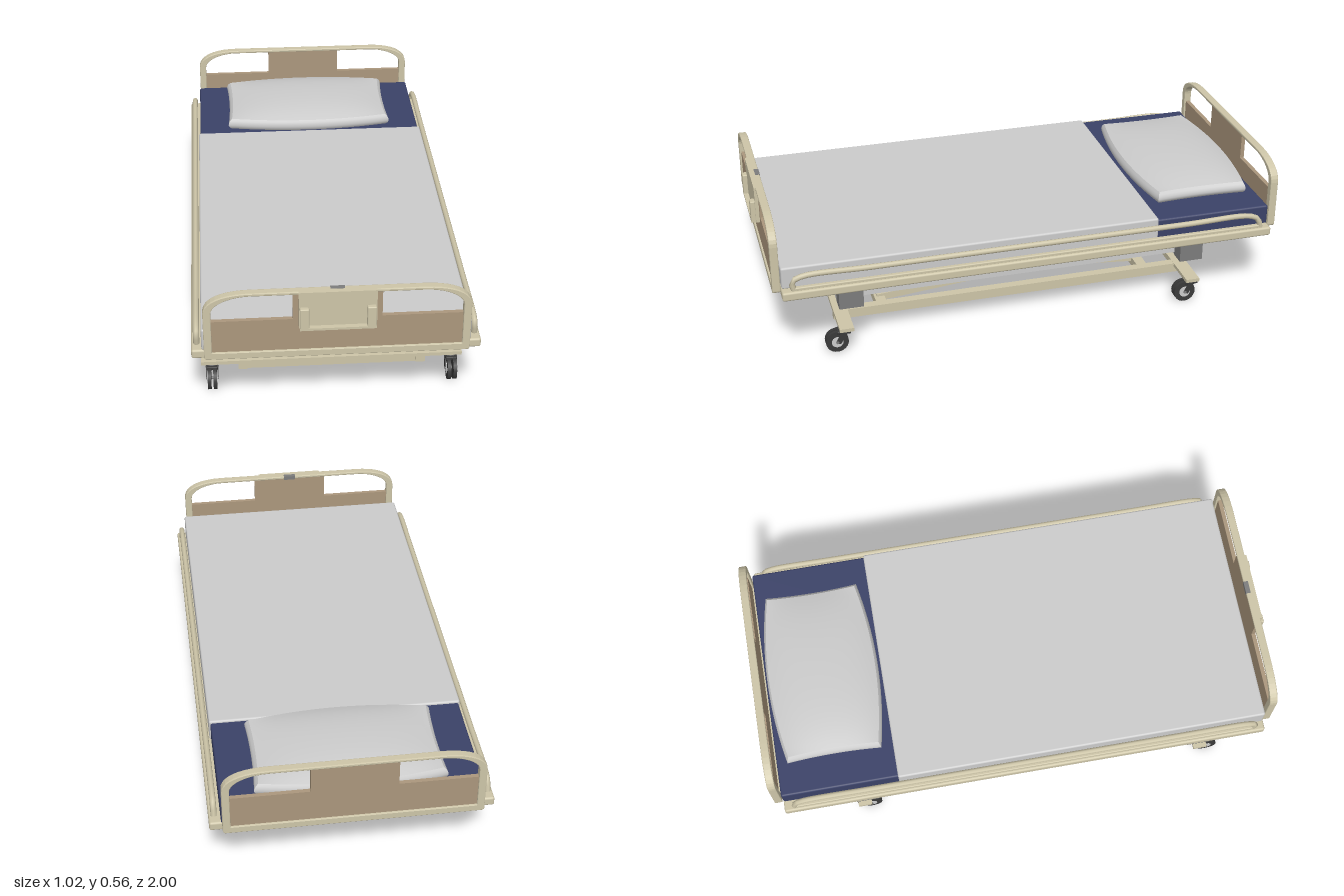
import * as THREE from 'three';
import { RoundedBoxGeometry } from 'three/addons/geometries/RoundedBoxGeometry.js';

const mat = (color) => new THREE.MeshStandardMaterial({ color });
const beige = mat(0xcdc5a8), brown = mat(0xab977d), navy = mat(0x3b4268);
const grey = mat(0xcccccc), darkGrey = mat(0x7c7c7c), black = mat(0x3a3a3a);

function add(parent, name, geometry, material, x = 0, y = 0, z = 0) {
  const mesh = new THREE.Mesh(geometry, material);
  mesh.name = name;
  mesh.position.set(x, y, z);
  parent.add(mesh);
  return mesh;
}

// Box given by its lower and upper limits on each axis
function box(parent, name, material, [x0, x1], [y0, y1], [z0, z1], radius = 0) {
  const s = [x1 - x0, y1 - y0, z1 - z0];
  const g = radius ? new RoundedBoxGeometry(...s, 3, radius) : new THREE.BoxGeometry(...s);
  return add(parent, name, g, material, (x0 + x1) / 2, (y0 + y1) / 2, (z0 + z1) / 2);
}

// Arched outline used for the outer and inner edge of the end boards
function arch(path, w, bottom, top, r) {
  path.moveTo(-w + r, bottom);
  path.lineTo(w - r, bottom);
  path.quadraticCurveTo(w, bottom, w, bottom + r);
  path.lineTo(w, 0.48);
  path.bezierCurveTo(w, top - 0.03, w - 0.065, top, 0.3, top);
  path.lineTo(-0.3, top);
  path.bezierCurveTo(-w + 0.065, top, -w, top - 0.03, -w, 0.48);
  path.lineTo(-w, bottom + r);
  path.quadraticCurveTo(-w, bottom, -w + r, bottom);
  return path;
}

function endBoard(name, z) {
  const board = new THREE.Group();
  board.name = name;
  const shape = arch(new THREE.Shape(), 0.465, 0.29, 0.56, 0.012);
  shape.holes.push(arch(new THREE.Path(), 0.437, 0.318, 0.548, 0.004));
  const frame = new THREE.ExtrudeGeometry(shape, {
    depth: 0.022, bevelEnabled: true, bevelThickness: 0.004, bevelSize: 0.003,
    bevelOffset: -0.003, bevelSegments: 2, curveSegments: 10,
  });
  add(board, 'boardFrame', frame, beige, 0, 0, -0.011);
  // Low panel with a raised centre column
  const p = new THREE.Shape([[-0.44, 0.315], [0.44, 0.315], [0.44, 0.445], [0.155, 0.445], [0.155, 0.552],
    [-0.155, 0.552], [-0.155, 0.445], [-0.44, 0.445]].map(([x, y]) => new THREE.Vector2(x, y)));
  add(board, 'boardPanel', new THREE.ExtrudeGeometry(p, { depth: 0.016, bevelEnabled: false }), brown, 0, 0, -0.008);
  board.position.z = z;
  return board;
}

// Cushion: a subdivided cube whose vertices are pushed into a pillow
function pillowGeometry() {
  const g = new THREE.BoxGeometry(2, 2, 2, 24, 6, 18);
  const pos = g.attributes.position;
  for (let i = 0; i < pos.count; i++) {
    const u = pos.getX(i), h = pos.getY(i), v = pos.getZ(i);
    const edge = 1 - 0.045 * h * h;
    const fall = (1 - u ** 4) * (1 - v ** 4);
    const x = u * edge * (0.338 + 0.008 * v * v);
    const z = v * edge * (0.183 + 0.036 * (1 - u * u));
    const y = h > 0 ? h * (0.026 + 0.012 * fall + 0.018 * (1 - u * u) * (1 - v * v)) : h * 0.022;
    pos.setXYZ(i, x, y, z);
  }
  g.computeVertexNormals();
  return g;
}

// Closed guard loop running along the bed side
function guardGeometry() {
  const pts = [[0.9, 0.312], [0.905, 0.345], [0.87, 0.363], [0.6, 0.364], [-0.6, 0.364],
    [-0.88, 0.363], [-0.915, 0.345], [-0.925, 0.312]].map(([z, y]) => new THREE.Vector3(0, y, z));
  return new THREE.TubeGeometry(new THREE.CatmullRomCurve3(pts, false, 'centripetal'), 80, 0.011, 8);
}

function caster() {
  const c = new THREE.Group();
  c.name = 'caster';
  add(c, 'stem', new THREE.CylinderGeometry(0.013, 0.013, 0.03, 14), darkGrey, 0, 0.085, 0);
  add(c, 'swivelCap', new THREE.CylinderGeometry(0.025, 0.025, 0.008, 18), darkGrey, 0, 0.09, 0);
  for (const s of [-1, 1]) {
    const tyre = add(c, 'wheel', new THREE.CylinderGeometry(0.043, 0.043, 0.013, 24), black, s * 0.0105, 0.043, 0.035);
    tyre.rotation.z = Math.PI / 2;
    const hub = add(c, 'hub', new THREE.CylinderGeometry(0.022, 0.022, 0.003, 18), grey, s * 0.018, 0.043, 0.035);
    hub.rotation.z = Math.PI / 2;
    const arm = box(c, 'forkArm', black, [s * 0.021 - 0.002, s * 0.021 + 0.002], [0.036, 0.086], [0.01, 0.03]);
    arm.rotation.x = -0.5;
  }
  const axle = add(c, 'axle', new THREE.CylinderGeometry(0.006, 0.006, 0.048, 10), darkGrey, 0, 0.043, 0.035);
  axle.rotation.z = Math.PI / 2;
  box(c, 'forkTop', black, [-0.021, 0.021], [0.074, 0.088], [-0.018, 0.035], 0.004);
  return c;
}

// Inclined lifting arm between two (z, y) points
function liftArm(parent, x, [z0, y0], [z1, y1]) {
  const len = Math.hypot(z1 - z0, y1 - y0);
  const arm = add(parent, 'scissorArm', new THREE.BoxGeometry(0.028, 0.028, len), beige, x, (y0 + y1) / 2, (z0 + z1) / 2);
  arm.rotation.x = -Math.atan2(y1 - y0, z1 - z0);
}

// Flared bracket hanging below a cross beam
function bracketGeometry() {
  const g = new THREE.BoxGeometry(2, 2, 2, 1, 2, 1).toNonIndexed();
  const rows = { '1': [0.155, 0.205, 0.013], '0': [0.148, 0.16, 0.013], '-1': [0.162, 0.115, 0.006] };
  const pos = g.attributes.position;
  for (let i = 0; i < pos.count; i++) {
    const [w, y, d] = rows[Math.round(pos.getY(i))];
    pos.setXYZ(i, pos.getX(i) * w, y, pos.getZ(i) * d);
  }
  g.computeVertexNormals();
  return g;
}

export function createModel() {
  const bed = new THREE.Group();
  bed.name = 'adjustableBed';

  // End boards and the panel with its pocket on the foot end
  bed.add(endBoard('headboard', -0.985), endBoard('footboard', 0.96));
  const control = new THREE.Group();
  control.name = 'footPanel';
  bed.add(control);
  box(control, 'backPlate', beige, [-0.135, 0.135], [0.415, 0.56], [0.962, 0.982]);
  box(control, 'pocketFloor', beige, [-0.132, 0.132], [0.415, 0.424], [0.98, 1]);
  for (const s of [-1, 1])
    box(control, 'pocketSide', beige, [s * 0.116 - 0.016, s * 0.116 + 0.016], [0.415, 0.502], [0.98, 1], 0.004);
  box(control, 'latch', darkGrey, [-0.025, 0.025], [0.545, 0.561], [0.944, 0.962]);

  // Deck, mattress and bedding
  box(bed, 'deck', beige, [-0.51, 0.51], [0.276, 0.311], [-0.965, 0.945], 0.008);
  box(bed, 'mattress', navy, [-0.468, 0.468], [0.305, 0.386], [-0.965, 0.93], 0.008);
  box(bed, 'sheet', grey, [-0.474, 0.474], [0.308, 0.395], [-0.51, 0.942], 0.008);
  add(bed, 'pillow', pillowGeometry(), grey, 0, 0.405, -0.738);
  const guard = guardGeometry();
  for (const s of [-1, 1]) {
    add(bed, 'sideGuard', guard, beige, s * 0.491, 0, 0);
    box(bed, 'lowerGuardBar', beige, [s * 0.491 - 0.009, s * 0.491 + 0.009], [0.308, 0.322], [-0.93, 0.905], 0.004);
  }

  // Housing below the deck, with cross beams and brackets
  box(bed, 'housing', grey, [-0.43, 0.43], [0.212, 0.278], [-0.61, 0.66]);
  const bracket = bracketGeometry();
  for (const z of [0.692, -0.645]) {
    box(bed, 'crossBeam', grey, [-0.425, 0.425], [0.2, 0.277], [z - 0.045, z + 0.045]);
    for (const s of [-1, 1])
      box(bed, 'beamEnd', darkGrey, [s * 0.457 - 0.032, s * 0.457 + 0.032], [0.2, 0.277], [z - 0.046, z + 0.046]);
    add(bed, 'beamBracket', bracket, grey, 0, 0, z);
  }

  // Scissor lift
  for (const x of [0.265, -0.236]) liftArm(bed, x, [0.56, 0.1], [-0.6, 0.207]);
  for (const x of [0.236, -0.265]) liftArm(bed, x, [-0.52, 0.1], [0.63, 0.207]);
  const pivot = add(bed, 'scissorPivot', new THREE.CylinderGeometry(0.008, 0.008, 0.55, 12), beige, 0, 0.153, 0.02);
  pivot.rotation.z = Math.PI / 2;

  // Base frame on casters
  for (const s of [-1, 1])
    box(bed, 'baseRail', beige, [s * 0.328 - 0.017, s * 0.328 + 0.017], [0.07, 0.107], [-0.69, 0.74]);
  for (const z of [0.715, 0.55, -0.51, -0.665])
    box(bed, 'baseCrossbar', beige, [-0.335, 0.335], [0.07, 0.106], [z - 0.02, z + 0.02]);
  for (const z of [0.713, -0.663]) {
    box(bed, 'axleBar', beige, [-0.482, 0.482], [0.094, 0.108], [z - 0.027, z + 0.027]);
    for (const s of [-1, 1]) {
      const c = caster();
      c.position.set(s * 0.443, 0, z + (z > 0 ? 0 : -0.012));
      bed.add(c);
    }
  }
  return bed;
}
